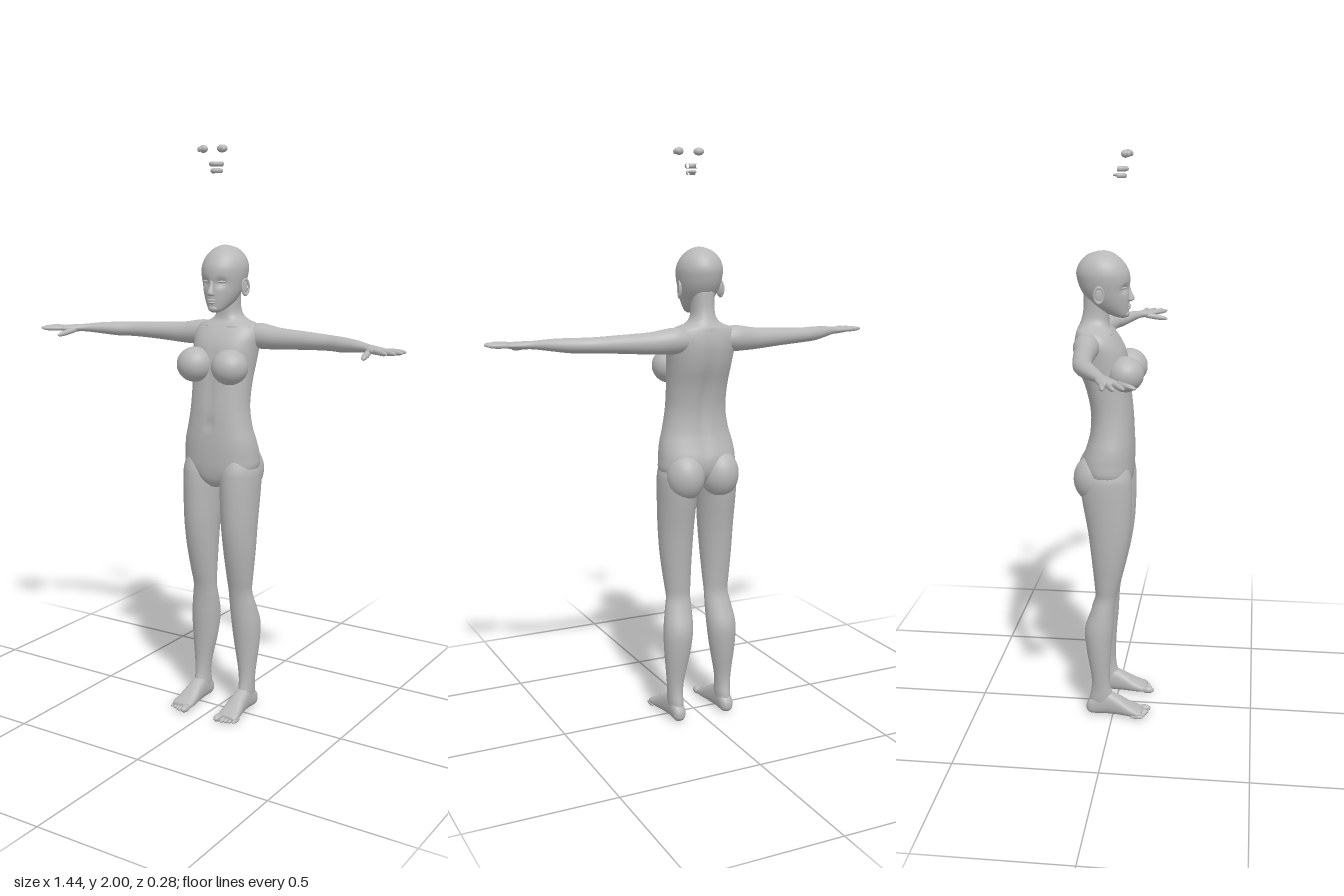
import * as THREE from 'three';

// Catmull-Rom through rows of numbers
function refine(rows, steps = 4) {
  const out = [];
  for (let i = 0; i < rows.length - 1; i++) {
    const a = rows[Math.max(i - 1, 0)], b = rows[i], c = rows[i + 1], d = rows[Math.min(i + 2, rows.length - 1)];
    for (let k = 0; k < steps; k++) {
      const t = k / steps;
      out.push(b.map((_, j) => b[j] + 0.5 * t * (c[j] - a[j] + t * (2 * a[j] - 5 * b[j] + 4 * c[j] - d[j] + t * (3 * (b[j] - c[j]) + d[j] - a[j])))));
    }
  }
  out.push(rows[rows.length - 1]);
  return out;
}

// Closed skin over rings [cx, cy, cz, ru, rv]; U null means "across the path, level"
function loft(rows, U, V, { n = 2, sides = 32, rule = null } = {}) {
  const rings = refine(rows), pos = [], idx = [], last = rings.length - 1;
  const centre = i => new THREE.Vector3(...rings[i].slice(0, 3));
  const bend = (c, e) => Math.sign(c) * Math.pow(Math.abs(c), e);
  const put = p => { if (rule) rule(p); pos.push(p.x, p.y, p.z); };
  rings.forEach((r, i) => {
    const tangent = centre(Math.min(i + 1, last)).sub(centre(Math.max(i - 1, 0)));
    const u = U || tangent.cross(V).normalize();
    for (let j = 0; j < sides; j++) {
      const a = j / sides * Math.PI * 2;
      put(centre(i).addScaledVector(u, r[3] * bend(Math.cos(a), 2 / n)).addScaledVector(V, r[4] * bend(Math.sin(a), 2 / n)));
    }
  });
  put(centre(0));
  put(centre(last));
  const start = rings.length * sides;
  const along = centre(last).sub(centre(0));
  const u0 = U || along.clone().cross(V);
  const flip = u0.clone().cross(V).dot(along) < 0;
  const tri = (a, b, c) => flip ? idx.push(a, c, b) : idx.push(a, b, c);
  for (let j = 0; j < sides; j++) {
    const k = (j + 1) % sides;
    for (let i = 0; i < last; i++) {
      tri(i * sides + j, i * sides + k, (i + 1) * sides + j);
      tri(i * sides + k, (i + 1) * sides + k, (i + 1) * sides + j);
    }
    tri(start, k, j);
    tri(start + 1, last * sides + j, last * sides + k);
  }
  const g = new THREE.BufferGeometry();
  g.setAttribute('position', new THREE.Float32BufferAttribute(pos, 3));
  g.setIndex(idx);
  g.computeVertexNormals();
  return g;
}

const X = new THREE.Vector3(1, 0, 0), Y = new THREE.Vector3(0, 1, 0), Z = new THREE.Vector3(0, 0, 1);
// Upright rows [y, xIn, xOut, zFront, zBack] and foot rows [z, xIn, xOut, yLow, yHigh]
const upright = r => r.map(([y, a, b, f, k]) => [(a + b) / 2, y, (f + k) / 2, (b - a) / 2, (f - k) / 2]);
const central = r => upright(r.map(([y, w, f, k]) => [y, -w, w, f, k]));
const lengthwise = r => r.map(([z, a, b, l, h]) => [(a + b) / 2, (l + h) / 2, z, (b - a) / 2, (h - l) / 2]);
const bump = (d, w) => Math.exp(-(d * d) / (w * w));

function blob(x, y, z, rx, ry, rz, turn = 0, tilt = 0) {
  return new THREE.SphereGeometry(1, 28, 20).scale(rx, ry, rz).rotateX(tilt).rotateY(turn).translate(x, y, z);
}

function digit(a, b, r) {
  const p = new THREE.Vector3(...a), q = new THREE.Vector3(...b), m = p.clone().lerp(q, 0.5);
  const rows = [[p, 0.9], [m, 1], [p.clone().lerp(q, 0.85), 0.75], [q, 0.25]].map(([c, s]) => [c.x, c.y, c.z, r * s, r * s]);
  return loft(rows, null, Y, { sides: 12 });
}

function mirrored(geo) {
  const g = geo.clone().scale(-1, 1, 1), i = g.index.array;
  for (let k = 0; k < i.length; k += 3) [i[k], i[k + 1]] = [i[k + 1], i[k]];
  g.computeVertexNormals();
  return g;
}

export function createModel() {
  const model = new THREE.Group();
  model.name = 'mannequin';
  const clay = new THREE.MeshStandardMaterial({ color: 0xb8b8b8 });
  clay.name = 'grey clay';
  const add = (name, geo) => {
    const m = new THREE.Mesh(geo, clay);
    m.name = name;
    model.add(m);
  };
  const pair = (name, geo) => { add(name + 'Left', geo); add(name + 'Right', mirrored(geo)); };

  // Torso and neck, with spine groove, midline and navel
  add('torso', loft(central([
    [0.835, 0.02, 0.035, -0.04], [0.86, 0.075, 0.054, -0.08], [0.9, 0.135, 0.063, -0.11], [0.95, 0.139, 0.066, -0.115],
    [1, 0.133, 0.066, -0.1], [1.05, 0.12, 0.064, -0.088], [1.12, 0.109, 0.06, -0.086], [1.2, 0.109, 0.052, -0.102],
    [1.27, 0.114, 0.046, -0.127], [1.33, 0.12, 0.034, -0.14], [1.37, 0.122, 0.014, -0.14], [1.4, 0.105, -0.008, -0.134],
    [1.415, 0.066, -0.02, -0.128], [1.435, 0.044, -0.024, -0.12], [1.47, 0.038, -0.022, -0.112], [1.53, 0.04, -0.02, -0.11],
  ]), X, Z, {
    n: 2.3, sides: 64, rule: p => {
      if (p.z < -0.05 && p.y > 0.95 && p.y < 1.4) p.z += 0.012 * bump(p.x, 0.018) * bump(p.y - 1.16, 0.16);
      if (p.z > 0.02) p.z -= 0.005 * bump(p.x, 0.014) * bump(p.y - 1.2, 0.1) + 0.01 * bump(p.x, 0.01) * bump(p.y - 1.06, 0.014);
    },
  }));
  pair('breast', blob(0.071, 1.264, 0.041, 0.064, 0.061, 0.062, 0.2, 0.1));
  pair('buttock', blob(0.066, 0.89, -0.068, 0.068, 0.085, 0.073));
  pair('collarbone', new THREE.TubeGeometry(new THREE.CatmullRomCurve3([
    new THREE.Vector3(0.012, 1.392, -0.012), new THREE.Vector3(0.05, 1.394, -0.014), new THREE.Vector3(0.1, 1.394, -0.045),
  ]), 16, 0.007, 8));

  // Legs
  pair('leg', loft(upright([
    [0.94, 0.03, 0.125, 0.05, -0.09], [0.9, 0.012, 0.14, 0.062, -0.11], [0.86, 0.008, 0.143, 0.065, -0.115],
    [0.8, 0.011, 0.142, 0.065, -0.108], [0.7, 0.016, 0.139, 0.06, -0.09], [0.6, 0.022, 0.134, 0.045, -0.078],
    [0.5, 0.028, 0.124, 0.022, -0.068], [0.45, 0.031, 0.119, 0.01, -0.066], [0.4, 0.03, 0.128, 0.004, -0.08],
    [0.33, 0.032, 0.138, 0, -0.102], [0.25, 0.042, 0.136, -0.007, -0.096], [0.15, 0.062, 0.126, -0.012, -0.079],
    [0.1, 0.068, 0.122, -0.008, -0.078], [0.06, 0.068, 0.12, 0, -0.086], [0.02, 0.074, 0.114, -0.02, -0.085],
  ]), X, Z));

  // Feet and toes
  pair('foot', loft(lengthwise([
    [-0.096, 0.084, 0.106, 0.014, 0.036], [-0.08, 0.072, 0.118, 0, 0.06], [-0.03, 0.068, 0.12, 0, 0.088],
    [0.02, 0.063, 0.126, 0, 0.07], [0.06, 0.059, 0.133, 0, 0.046], [0.09, 0.059, 0.137, 0.001, 0.032], [0.108, 0.066, 0.13, 0.005, 0.024],
  ]), X, Y, { n: 2.4 }));
  for (let i = 0; i < 5; i++) {
    const r = i ? 0.009 - i * 0.0004 : 0.013;
    pair('toe' + (i + 1), blob(0.07 + (i ? 0.006 : 0) + i * 0.0138, r + 0.001, 0.113 - i * 0.0055, r, r, 0.023));
  }

  // Arms run out and slightly forward, palms down
  pair('arm', loft([
    [0.06, 1.362, -0.088, 0.036, 0.034], [0.11, 1.362, -0.087, 0.044, 0.044], [0.15, 1.36, -0.084, 0.041, 0.042],
    [0.2, 1.357, -0.08, 0.036, 0.037], [0.3, 1.358, -0.072, 0.032, 0.031], [0.4, 1.358, -0.058, 0.03, 0.026],
    [0.46, 1.358, -0.035, 0.029, 0.025], [0.52, 1.36, -0.008, 0.024, 0.02], [0.57, 1.36, 0.018, 0.019, 0.014],
    [0.6, 1.359, 0.035, 0.026, 0.013], [0.635, 1.358, 0.055, 0.032, 0.011], [0.65, 1.358, 0.062, 0.026, 0.007],
  ], null, Y));
  const fingers = [[0.65, 0.034, 0.716, 0.044], [0.645, 0.05, 0.719, 0.076], [0.637, 0.066, 0.708, 0.106], [0.626, 0.077, 0.686, 0.124]];
  fingers.forEach(([x, z, tx, tz], i) => pair('finger' + (i + 1), digit([x, 1.359, z], [tx, 1.36, tz], 0.0085)));
  pair('thumb', digit([0.592, 1.355, 0.045], [0.609, 1.34, 0.13], 0.0105));

  // Head, with eye hollows
  add('head', loft(central([
    [1.446, 0.012, 0.034, 0.01], [1.455, 0.028, 0.041, -0.02], [1.48, 0.047, 0.044, -0.07], [1.51, 0.061, 0.045, -0.1],
    [1.54, 0.07, 0.045, -0.12], [1.57, 0.076, 0.048, -0.131], [1.6, 0.077, 0.045, -0.135], [1.63, 0.067, 0.029, -0.124],
    [1.655, 0.045, 0.003, -0.1], [1.667, 0.022, -0.02, -0.07], [1.671, 0.004, -0.038, -0.046],
  ]), X, Z, {
    sides: 64, rule: p => {
      if (p.z > 0) p.z -= 0.012 * bump(Math.abs(p.x) - 0.031, 0.015) * bump(p.y - 1.546, 0.013);
    },
  }));
  add('nose', loft([
    [0, 1.555, 0.04, 0.006, 0.007], [0, 1.535, 0.044, 0.008, 0.009], [0, 1.516, 0.049, 0.011, 0.013],
    [0, 1.507, 0.049, 0.013, 0.012], [0, 1.502, 0.046, 0.008, 0.006],
  ], X, Z, { sides: 20 }));
  add('upperLip', blob(0, 1.4875, 0.043, 0.018, 0.0045, 0.008));
  add('lowerLip', blob(0, 1.479, 0.042, 0.015, 0.005, 0.008));
  add('chin', blob(0, 1.459, 0.034, 0.018, 0.012, 0.012));
  pair('eyelid', blob(0.031, 1.55, 0.029, 0.015, 0.004, 0.008, 0.4));
  pair('ear', blob(0.074, 1.53, -0.048, 0.006, 0.026, 0.015, -0.25));
  pair('earRim', new THREE.TorusGeometry(0.016, 0.0035, 8, 24).scale(1, 1.6, 1).rotateY(Math.PI / 2 - 0.25).translate(0.078, 1.53, -0.049));

  // Spare eyes and teeth floating above the head
  pair('spareEye', blob(0.037, 1.987, 0.035, 0.018, 0.013, 0.013, 0.4));
  pair('spareEyeLens', blob(0.046, 1.986, 0.046, 0.009, 0.009, 0.006, 0.4));
  for (const [name, y, w] of [['upperTeeth', 1.938, 0.024], ['lowerTeeth', 1.916, 0.02]]) {
    const arch = new THREE.TorusGeometry(w - 0.006, 0.007, 10, 24, Math.PI).rotateX(Math.PI / 2).scale(1, 1.2, 1.5).translate(0, y, 0.005);
    add(name, arch);
  }
  add('tongue', blob(0, 1.918, 0.009, 0.013, 0.006, 0.02));
  return model;
}
